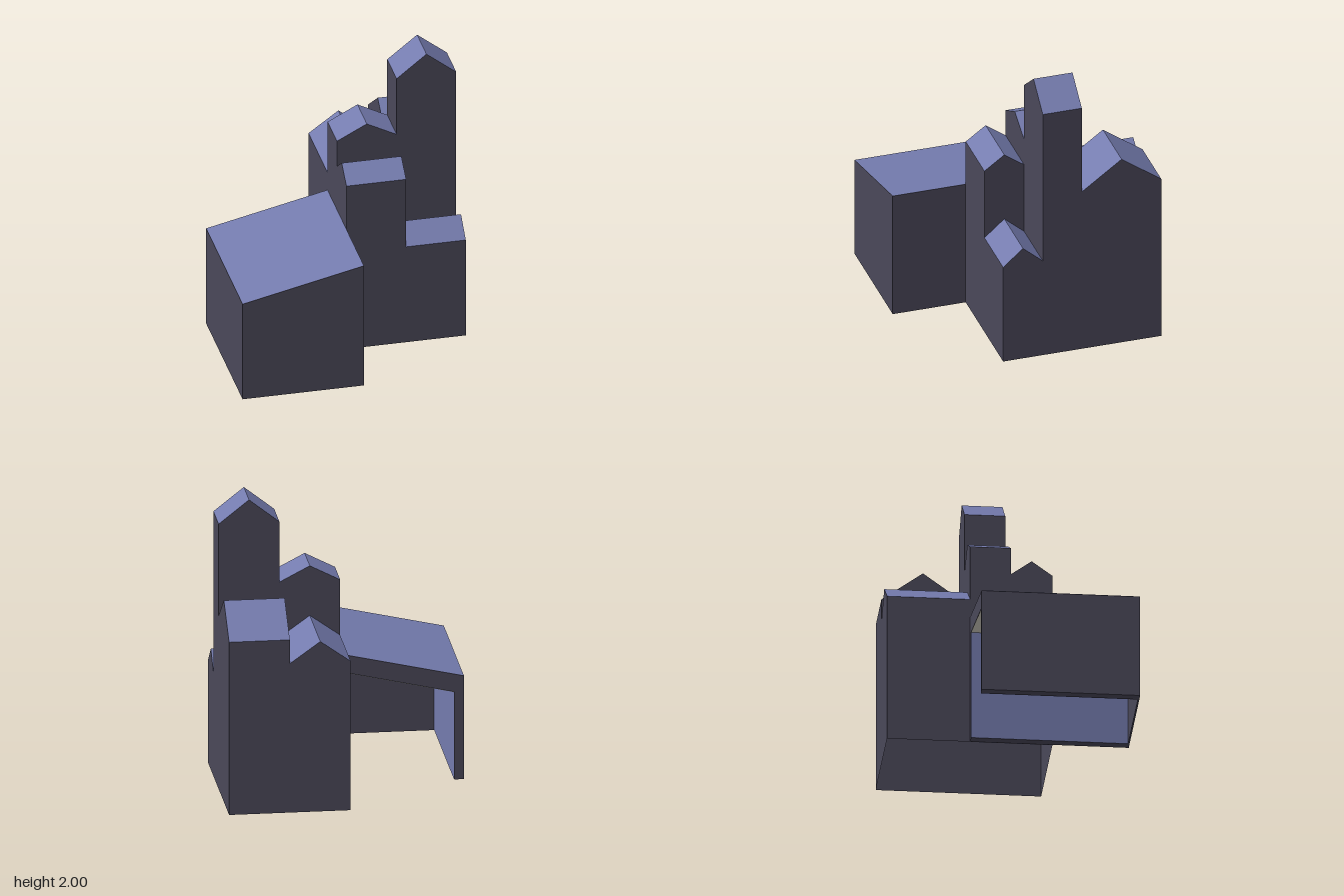
import * as THREE from 'three';

const paint = (color) => new THREE.MeshStandardMaterial({
  color, flatShading: true, side: THREE.DoubleSide,
});
const wallPaint = paint(0x4a4859);
const roofPaint = paint(0x747bae);
const ceilingPaint = paint(0xd0ccc0);

// Flat convex panels, each given as a counter-clockwise loop of corners.
function panels(name, loops, material) {
  const pos = [];
  for (const loop of loops)
    for (let i = 1; i < loop.length - 1; i++)
      pos.push(...loop[0], ...loop[i], ...loop[i + 1]);
  const geo = new THREE.BufferGeometry();
  geo.setAttribute('position', new THREE.Float32BufferAttribute(pos, 3));
  geo.computeVertexNormals();
  const mesh = new THREE.Mesh(geo, material);
  mesh.name = name;
  return mesh;
}

// Open-bottomed gabled block. Ridge runs along `axis`; u is along it, v across.
// Each wall starts at its given height; null leaves that side open.
function gabledBlock({ name, x, z, eave, ridge, axis, walls }) {
  const alongX = axis === 'x';
  const [u0, u1] = alongX ? x : z;
  const [v0, v1] = alongX ? z : x;
  const vm = (v0 + v1) / 2;
  const wallLoops = [], roofLoops = [];
  const add = (list, pts, flip) => {
    const loop = pts.map(([u, y, v]) => (alongX ? [u, y, v] : [v, y, u]));
    list.push(flip === alongX ? loop.reverse() : loop);
  };
  const { left, right, back, front } = walls; // -x, +x, -z, +z sides
  const ends = alongX ? [left, right] : [back, front];
  const sides = alongX ? [back, front] : [left, right];

  // Gable ends
  [u0, u1].forEach((u, i) => {
    const b = ends[i];
    if (b !== null) add(wallLoops,
      [[u, b, v0], [u, b, v1], [u, eave, v1], [u, ridge, vm], [u, eave, v0]], i === 1);
  });
  // Eave walls and roof slopes
  [v0, v1].forEach((v, i) => {
    const b = sides[i];
    if (b !== null) add(wallLoops,
      [[u0, b, v], [u1, b, v], [u1, eave, v], [u0, eave, v]], i === 0);
    add(roofLoops,
      [[u0, eave, v], [u1, eave, v], [u1, ridge, vm], [u0, ridge, vm]], i === 0);
  });

  const block = new THREE.Group();
  block.name = name;
  block.add(
    panels(name + 'Walls', wallLoops, wallPaint),
    panels(name + 'Roof', roofLoops, roofPaint),
  );
  return block;
}

function extruded(name, points, z0, z1) {
  const shape = new THREE.Shape(points.map(([px, py]) => new THREE.Vector2(px, py)));
  const geo = new THREE.ExtrudeGeometry(shape, { depth: z1 - z0, bevelEnabled: false });
  geo.translate(0, 0, z0);
  const mesh = new THREE.Mesh(geo, wallPaint);
  mesh.name = name;
  return mesh;
}

// Loop sweeping the segment a-b (in x, y) from z1 back to z0.
const strip = (a, b, z0, z1) => [[...a, z1], [...b, z1], [...b, z0], [...a, z0]];

export function createModel() {
  const model = new THREE.Group();
  model.name = 'building';

  // Grid lines shared by the house blocks
  const xLeft = [0.007, 0.411], xRight = [0.411, 0.815];
  const zBack = [-0.8, -0.25], zMid = [-0.25, 0.02], zFront = [0.02, 0.295];

  const blocks = [
    { name: 'backLowBlock', x: xLeft, z: zBack, eave: 1.035, ridge: 1.18, axis: 'z',
      walls: { left: 0, right: null, back: 0, front: null } },
    { name: 'backWideBlock', x: xRight, z: zBack, eave: 1.2, ridge: 1.4, axis: 'x',
      walls: { left: 1.035, right: 0, back: 0, front: null } },
    { name: 'middleBlock', x: xLeft, z: zMid, eave: 1.42, ridge: 1.525, axis: 'z',
      walls: { left: 0, right: null, back: 1.035, front: 1.23 } },
    { name: 'tower', x: xRight, z: zMid, eave: 1.84, ridge: 2, axis: 'z',
      walls: { left: 1.42, right: 0, back: 1.2, front: 0.72 } },
    { name: 'frontTallBlock', x: xLeft, z: zFront, eave: 1.23, ridge: 1.33, axis: 'x',
      walls: { left: 0, right: 0.72, back: null, front: 0 } },
    { name: 'frontLowBlock', x: xRight, z: zFront, eave: 0.72, ridge: 0.84, axis: 'x',
      walls: { left: null, right: 0, back: null, front: 0 } },
  ];
  blocks.forEach((b) => model.add(gabledBlock(b)));

  // Inner face of the wall shared by house and garage
  model.add(panels('sharedWallLining',
    [strip([0.01, 0], [0.01, 0.9], -0.249, 0.294)], roofPaint));

  // Garage with a sloping roof, open at the back and underneath
  const garage = new THREE.Group();
  garage.name = 'garage';
  const outline = [[-0.815, 0], [-0.815, 0.718], [0.006, 0.903], [0.006, 0]];
  const cavity = [[-0.058, 0], [-0.058, 0.766], [-0.752, 0.609], [-0.752, 0]];
  garage.add(
    extruded('garageShell', [...outline, ...cavity], -0.25, 0.79),
    extruded('garageFrontWall', outline, 0.79, 0.8),
    panels('garageRoof', [strip([-0.815, 0.72], [0.006, 0.905], -0.25, 0.8)], roofPaint),
    panels('garageLining', [
      strip([-0.06, 0], [-0.06, 0.765], -0.25, 0.79),
      strip([-0.75, 0.608], [-0.75, 0], -0.25, 0.79),
    ], roofPaint),
    panels('garageCeiling',
      [strip([-0.06, 0.764], [-0.75, 0.607], -0.25, 0.79)], ceilingPaint),
  );
  model.add(garage);
  return model;
}
